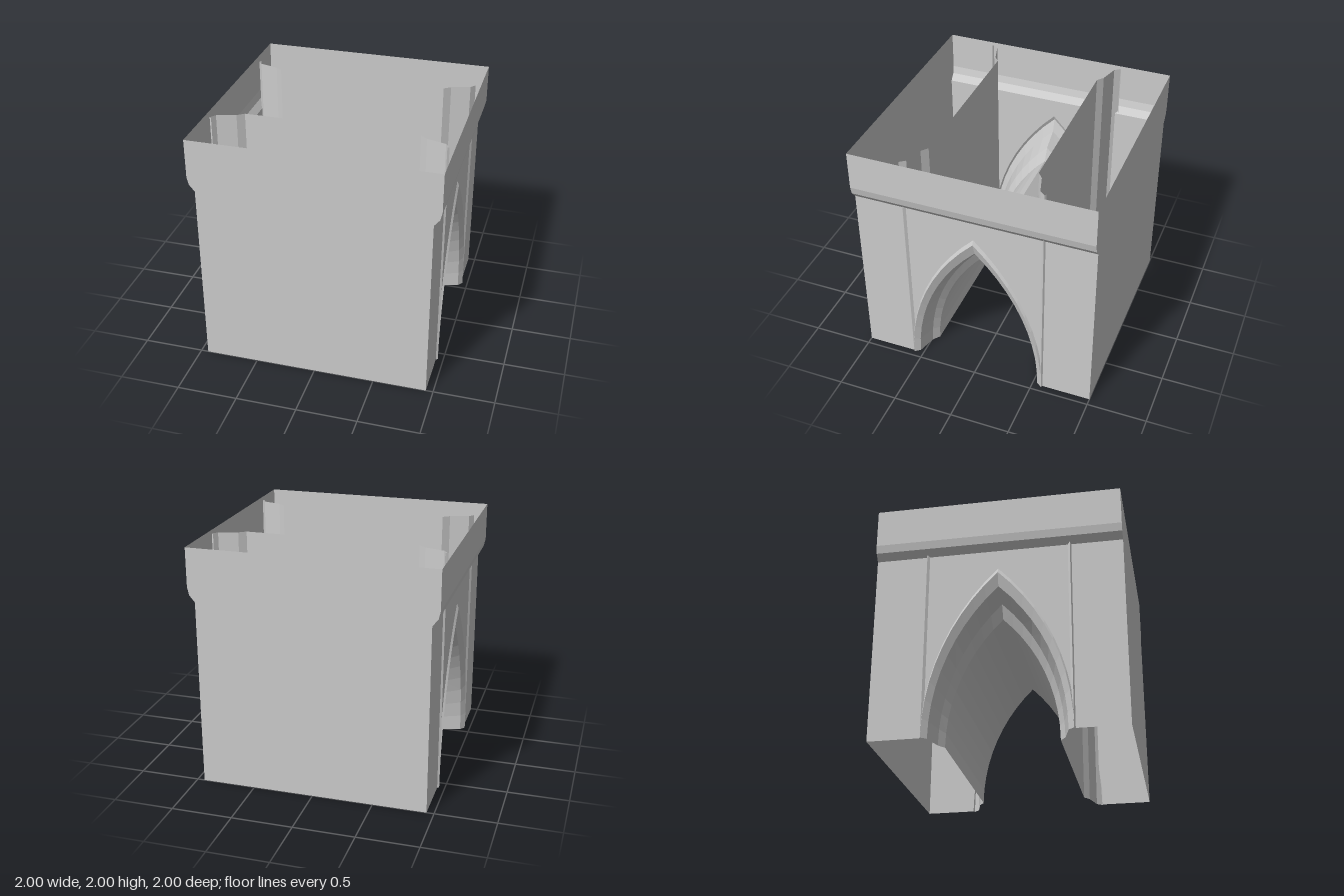
import * as THREE from 'three';

const material = new THREE.MeshStandardMaterial({
  color: 0xcccccc, flatShading: true, side: THREE.DoubleSide,
});

const WALL_X = 0.94;
const HEIGHT = 2;

// Arch mouldings from tunnel to wall face: x, half width at the ground, apex height
const mouldings = [
  [0.71, 0.447, 1.06],
  [0.765, 0.49, 1.17],
  [0.92, 0.535, 1.25],
  [0.955, 0.58, 1.36],
  [WALL_X, 0.59, 1.4],
];
const tunnelProfile = [
  ...mouldings.map(([x, w, h]) => [-x, w, h]).reverse(),
  ...mouldings,
];

// Parapet edge from the wall face up to the top: x, y
const parapetProfile = [[WALL_X, 1.56], [0.985, 1.615], [1, 1.68], [1, HEIGHT]];

// Pointed arch of two circular arcs, as [z, y] from +z over the apex to -z
function archPoints(halfWidth, apex, segments = 10) {
  const offset = (apex * apex - halfWidth * halfWidth) / (2 * halfWidth);
  const radius = halfWidth + offset;
  const sweep = Math.asin(apex / radius);
  const half = [];
  for (let i = 0; i <= segments; i++) {
    const t = (sweep * i) / segments;
    half.push([Math.max(0, radius * Math.cos(t) - offset), radius * Math.sin(t)]);
  }
  const other = half.slice(0, -1).reverse().map(([z, y]) => [-z, y]);
  return [...half, ...other];
}

// Skin between rows of [x, y, z] points
function loft(rows) {
  const n = rows[0].length;
  const index = [];
  for (let i = 0; i < rows.length - 1; i++) {
    for (let j = 0; j < n - 1; j++) {
      const a = i * n + j, b = a + 1, d = a + n, c = d + 1;
      index.push(a, b, c, a, c, d);
    }
  }
  const geometry = new THREE.BufferGeometry();
  geometry.setAttribute('position', new THREE.Float32BufferAttribute(rows.flat(2), 3));
  geometry.setIndex(index);
  geometry.computeVertexNormals();
  return geometry;
}

function addMesh(parent, name, geometry) {
  const mesh = new THREE.Mesh(geometry, material);
  mesh.name = name;
  parent.add(mesh);
  return mesh;
}

function polygon(points) {
  return new THREE.ShapeGeometry(new THREE.Shape(points.map(([x, y]) => new THREE.Vector2(x, y))));
}

export function createModel() {
  const group = new THREE.Group();
  group.name = 'archedGateBlock';

  // Plain front and back walls, widening into the parapet
  const right = [[WALL_X, 0], ...parapetProfile];
  const left = right.map(([x, y]) => [-x, y]).reverse();
  const plate = polygon([...right, ...left]);
  addMesh(group, 'frontWall', plate).position.z = 1;
  const back = addMesh(group, 'backWall', plate);
  back.position.z = -1;
  back.rotation.y = Math.PI;

  // Side walls with the arch opening, and the overhanging parapet above
  const [, outerWidth, outerApex] = mouldings[mouldings.length - 1];
  const sideWall = polygon([
    [1, 0], [1, 1.56], [-1, 1.56], [-1, 0],
    ...archPoints(outerWidth, outerApex).reverse(),
  ]);
  sideWall.rotateY(Math.PI / 2).translate(WALL_X, 0, 0);
  const parapet = loft([-1, 1].map((z) => parapetProfile.map(([x, y]) => [x, y, z])));
  for (const [side, angle] of [['left', 0], ['right', Math.PI]]) {
    addMesh(group, side + 'ArchWall', sideWall).rotation.y = angle;
    addMesh(group, side + 'Parapet', parapet).rotation.y = angle;
  }

  // Vaulted tunnel with flared mouldings at both ends
  addMesh(group, 'vaultedTunnel', loft(tunnelProfile.map(([x, w, h]) =>
    archPoints(w, h).map(([z, y]) => [x, y, z]))));

  // Upright partitions following the jamb mouldings, full height
  const jamb = loft([0, HEIGHT].map((y) =>
    [...tunnelProfile].reverse().map(([x, w]) => [x, y, w])));
  addMesh(group, 'frontJambPartition', jamb);
  addMesh(group, 'backJambPartition', jamb).rotation.y = Math.PI;

  return group;
}
